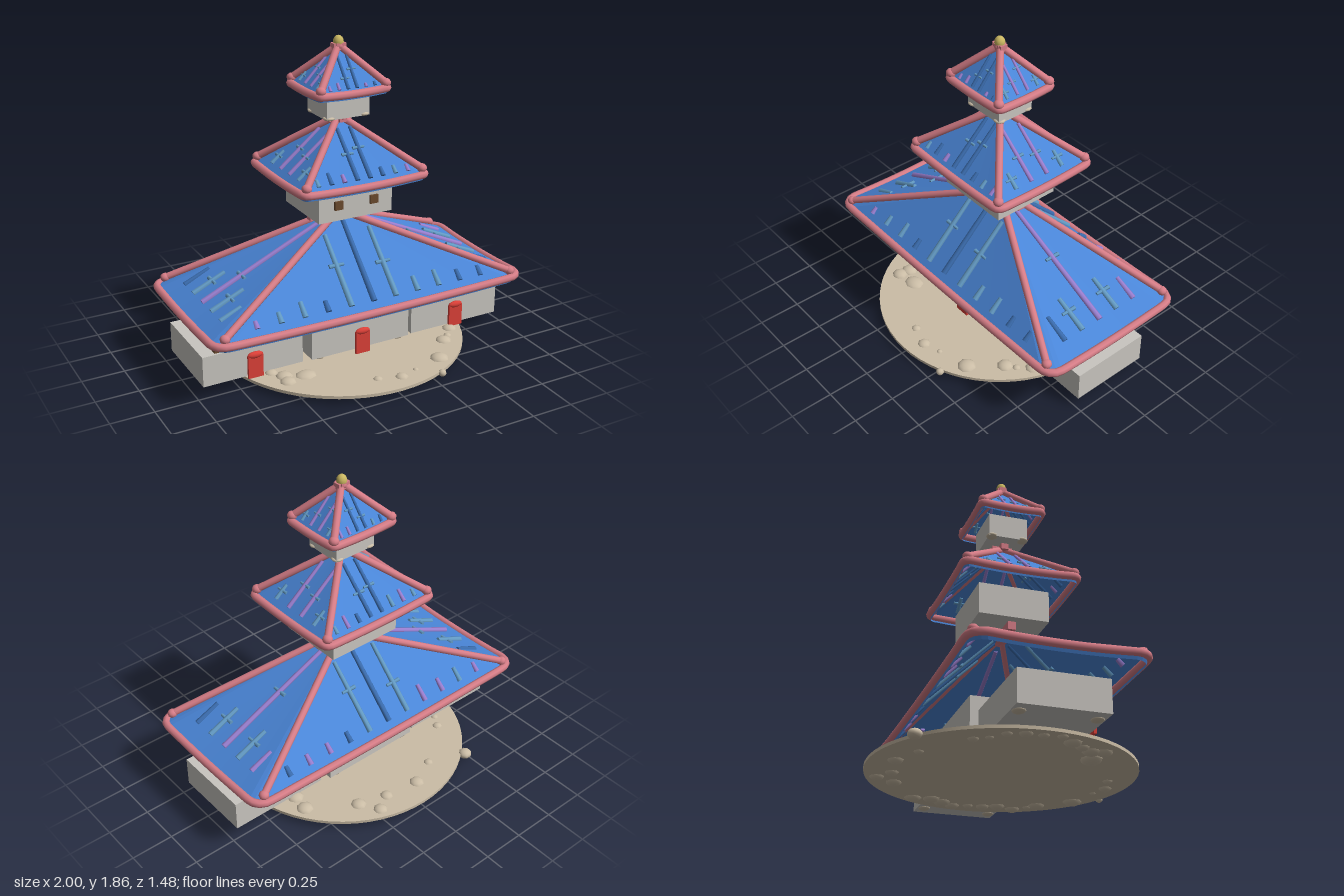
import * as THREE from 'three';

const mat = (name, color, extra = {}) => Object.assign(new THREE.MeshStandardMaterial({ color, ...extra }), { name });
const V = (x, y, z) => new THREE.Vector3(x, y, z);

export function createModel() {
  const root = new THREE.Group();
  root.name = 'pagoda';
  const M = {
    roof: mat('roof blue', 0x4a86d8, { side: THREE.DoubleSide, flatShading: true }),
    trim: mat('trim pink', 0xd67d87),
    wall: mat('wall grey', 0xc9c6c0),
    ground: mat('sand', 0xcbbda6),
    door: mat('door red', 0xdc4038),
    gold: mat('finial gold', 0xcbb862),
    wood: mat('window brown', 0x6b4a2e),
    deep: mat('tile deep blue', 0x3a6cae),
    teal: mat('tile pale blue', 0x649cc6),
    violet: mat('tile violet', 0x9a7fd0),
  };

  const add = (parent, name, geometry, material, x = 0, y = 0, z = 0) => {
    const m = new THREE.Mesh(geometry, material);
    m.name = name;
    m.position.set(x, y, z);
    parent.add(m);
    return m;
  };
  const box = (parent, name, material, w, h, d, x, y, z) =>
    add(parent, name, new THREE.BoxGeometry(w, h, d), material, x, y, z);
  const ball = (parent, name, material, rx, ry, rz, x, y, z, seg = 10) => {
    const m = add(parent, name, new THREE.SphereGeometry(1, seg, 8), material, x, y, z);
    m.scale.set(rx, ry, rz);
    return m;
  };
  // Round rod between two points
  const rod = (parent, name, material, a, b, r0, r1 = r0, seg = 10) => {
    const dir = b.clone().sub(a);
    const m = add(parent, name, new THREE.CylinderGeometry(r1, r0, dir.length(), seg), material);
    m.position.copy(a).add(b).multiplyScalar(0.5);
    m.quaternion.setFromUnitVectors(V(0, 1, 0), dir.normalize());
    return m;
  };

  let seed = 7;
  const rand = () => (seed = (seed * 16807) % 2147483647) / 2147483647;

  // Rounded rectangle at eave height, lifted slightly towards the corners
  const outline = (w, d, r, y, lift) => {
    const pts = [];
    const corners = [[1, 1], [-1, 1], [-1, -1], [1, -1]];
    corners.forEach(([sx, sz], i) => {
      for (let k = 0; k <= 4; k++) {
        const a = (i + k / 4) * Math.PI / 2;
        pts.push(V(sx * (w - r) + r * Math.cos(a), y + lift, sz * (d - r) + r * Math.sin(a)));
      }
      const [nx, nz] = corners[(i + 1) % 4];
      const a = (i + 1) * Math.PI / 2;
      const start = V(sx * (w - r) + r * Math.cos(a), y, sz * (d - r) + r * Math.sin(a));
      const end = V(nx * (w - r) + r * Math.cos(a), y, nz * (d - r) + r * Math.sin(a));
      for (let k = 1; k < 8; k++) {
        const p = start.clone().lerp(end, k / 8);
        p.y += lift * Math.pow(Math.abs(k / 4 - 1), 2);
        pts.push(p);
      }
    });
    return pts;
  };

  const roof = (name, o) => {
    const g = new THREE.Group();
    g.name = name;
    root.add(g);
    const ring = outline(o.w, o.d, o.r, o.y, o.lift);
    const apex = V(0, o.top, 0);

    // Open shell: four slopes plus a short skirt
    const pos = [];
    const push = (...ps) => ps.forEach(p => pos.push(p.x, p.y, p.z));
    ring.forEach((a, i) => {
      const b = ring[(i + 1) % ring.length];
      const a2 = V(a.x * 0.985, a.y - o.skirt, a.z * 0.985);
      const b2 = V(b.x * 0.985, b.y - o.skirt, b.z * 0.985);
      push(a, apex, b, a, b, b2, a, b2, a2);
    });
    const shell = new THREE.BufferGeometry();
    shell.setAttribute('position', new THREE.Float32BufferAttribute(pos, 3));
    shell.computeVertexNormals();
    add(g, 'roofSlopes', shell, M.roof);

    // Eave rim, hip ridges and corner knobs
    const curve = new THREE.CatmullRomCurve3(ring, true);
    add(g, 'eaveRim', new THREE.TubeGeometry(curve, 160, 0.023, 8, true), M.trim);
    for (const sx of [-1, 1]) for (const sz of [-1, 1]) {
      const c = V(sx * o.kx, o.ky, sz * o.kz);
      rod(g, 'hipRidge', M.trim, c, V(sx * 0.015, o.top - 0.005, sz * 0.01), 0.021);
      ball(g, 'cornerKnob', M.trim, 0.029, 0.026, 0.029, c.x, c.y, c.z);
    }

    // Tile ribs on each slope: long near the middle, stubs towards the corners
    const cols = [M.deep, M.teal, M.violet, M.teal, M.deep, M.violet];
    for (let f = 0; f < 4; f++) {
      const alongX = f % 2 === 0, s = f < 2 ? 1 : -1;
      const half = alongX ? o.w : o.d, depth = alongX ? o.d : o.w;
      const step = alongX ? o.stepX : o.stepZ;
      const at = (u, t) => {
        const out = s * depth * (1 - t), y = o.y + t * (o.top - o.y) + 0.004;
        return alongX ? V(u, y, out) : V(out, y, u);
      };
      const n = Math.floor(half / step);
      for (let i = -n; i <= n; i++) {
        const u = (i + o.shift) * step, k = Math.abs(i + o.shift);
        const limit = 0.93 - Math.abs(u) / half;
        const t0 = alongX ? 0.1 : 0.12;
        if (limit < t0 + 0.02) continue;
        const long = alongX ? k < 1.1 : k < 0.6;
        const mid = !alongX && k < 1.6;
        const t1 = Math.min(limit, long ? 0.9 : mid ? 0.32 : t0 + 0.07 + 0.1 * rand());
        const m = long && !alongX ? M.violet : long && k < 0.6 ? M.deep
          : long || mid ? M.teal : cols[Math.floor(rand() * 6)];
        rod(g, 'tileRib', m, at(u, t0), at(u, t1), o.rib, o.rib * 0.75, 7);
        if ((long && k > 0.3) || mid) {
          const t = mid && !long ? 0.24 : 0.3 + 0.25 * rand();
          const w = o.rib * 2.6;
          rod(g, 'crossTile', M.teal, at(u - w, t), at(u + w, t), o.rib * 0.7, o.rib * 0.5, 6);
        }
      }
    }

    // Ridge cap: a crossed pair of bars with round ends
    box(g, 'ridgeCap', M.trim, o.capX * 2, o.capH, 0.045, 0, o.capY, 0);
    box(g, 'ridgeCapCross', M.trim, 0.045, o.capH, o.capZ * 2, 0, o.capY, 0);
    ball(g, 'ridgeKnob', M.trim, 0.026, 0.026, o.capZ + 0.005, 0, o.capY, 0);
  };

  roof('lowerRoof', { w: 0.975, d: 0.468, r: 0.08, y: 0.39, lift: 0.012, skirt: 0.036, top: 0.84,
    kx: 0.91, ky: 0.435, kz: 0.44, stepX: 0.143, stepZ: 0.13, shift: 0, rib: 0.018, capX: 0.19, capZ: 0.085, capY: 0.835, capH: 0.048 });
  roof('middleRoof', { w: 0.382, d: 0.332, r: 0.035, y: 1.085, lift: 0.01, skirt: 0.033, top: 1.4,
    kx: 0.36, ky: 1.13, kz: 0.312, stepX: 0.08, stepZ: 0.11, shift: 0.5, rib: 0.014, capX: 0.07, capZ: 0.06, capY: 1.398, capH: 0.035 });
  roof('upperRoof', { w: 0.214, d: 0.186, r: 0.025, y: 1.573, lift: 0.006, skirt: 0.03, top: 1.795,
    kx: 0.2, ky: 1.608, kz: 0.175, stepX: 0.055, stepZ: 0.07, shift: 0.5, rib: 0.01, capX: 0.038, capZ: 0.028, capY: 1.8, capH: 0.035 });

  // Finial
  ball(root, 'finial', M.gold, 0.03, 0.037, 0.03, 0, 1.823, 0, 12);

  // Wall blocks
  box(root, 'mainHall', M.wall, 0.635, 0.26, 0.55, 0, 0.21, 0);
  box(root, 'middleStorey', M.wall, 0.465, 0.185, 0.41, 0, 0.958, 0);
  box(root, 'upperStorey', M.wall, 0.265, 0.14, 0.23, 0, 1.49, 0);
  for (const s of [-1, 1]) {
    box(root, 'sideWing', M.wall, 0.605, 0.18, 0.482, s * 0.662, 0.155, 0);
    box(root, 'window', M.wood, 0.05, 0.05, 0.02, s * 0.112, 0.957, 0.208);
    for (const x of [0.445, 0.87]) box(root, 'wingPost', M.wood, 0.036, 0.02, 0.036, s * x, 0.252, 0.21);
    // Foot stones under the blocks
    for (const z of [-1, 1]) {
      ball(root, 'upperFootStone', M.ground, 0.036, 0.014, 0.034, s * 0.108, 1.427, z * 0.092);
      ball(root, 'wingFootStone', M.ground, 0.04, 0.014, 0.035, s * 0.87, 0.065, z * 0.2);
      ball(root, 'wingFootStone', M.ground, 0.04, 0.014, 0.035, s * 0.44, 0.065, z * 0.2);
      ball(root, 'hallFootStone', M.ground, 0.04, 0.016, 0.035, s * 0.26, 0.078, z * 0.24);
    }
  }

  // Doors with rounded heads
  for (const [x, z] of [[-0.66, 0.257], [0, 0.292], [0.66, 0.257]]) {
    box(root, 'door', M.door, 0.09, 0.135, 0.016, x, 0.125, z);
    ball(root, 'doorHead', M.door, 0.047, 0.02, 0.017, x, 0.195, z, 14);
  }

  // Ground disc and scattered stones
  add(root, 'groundDisc', new THREE.CylinderGeometry(0.74, 0.74, 0.018, 64), M.ground, 0, 0.041, 0);
  const stones = [[-0.47, -0.6, 0.04], [-0.07, -0.6, 0.046], [-0.24, -0.52, 0.03], [0.14, -0.57, 0.04],
    [0.24, -0.63, 0.044], [0.31, -0.52, 0.048], [-0.07, 0.59, 0.03], [0.06, 0.63, 0.04], [0.17, 0.6, 0.02],
    [0.36, 0.55, 0.058], [0.29, 0.69, 0.023], [0.5, 0.38, 0.05], [-0.52, 0.38, 0.05]];
  for (const s of [-1, 1]) for (let i = 0; i < 9; i++) {
    const a = (i / 8 - 0.5) * 1.1, r = 0.6 + 0.1 * rand();
    stones.push([s * r * Math.cos(a), r * Math.sin(a), 0.025 + 0.03 * rand()]);
  }
  stones.forEach(([x, z, r]) => {
    const m = ball(root, 'stone', M.ground, r, 0.012 + r * 0.4, r, x, 0.04, z, 8);
    m.rotation.y = rand() * 3;
  });
  // Lowest stone touches the floor
  ball(root, 'stone', M.ground, 0.07, 0.035, 0.06, -0.4, 0.035, 0.36, 8);

  return root;
}
